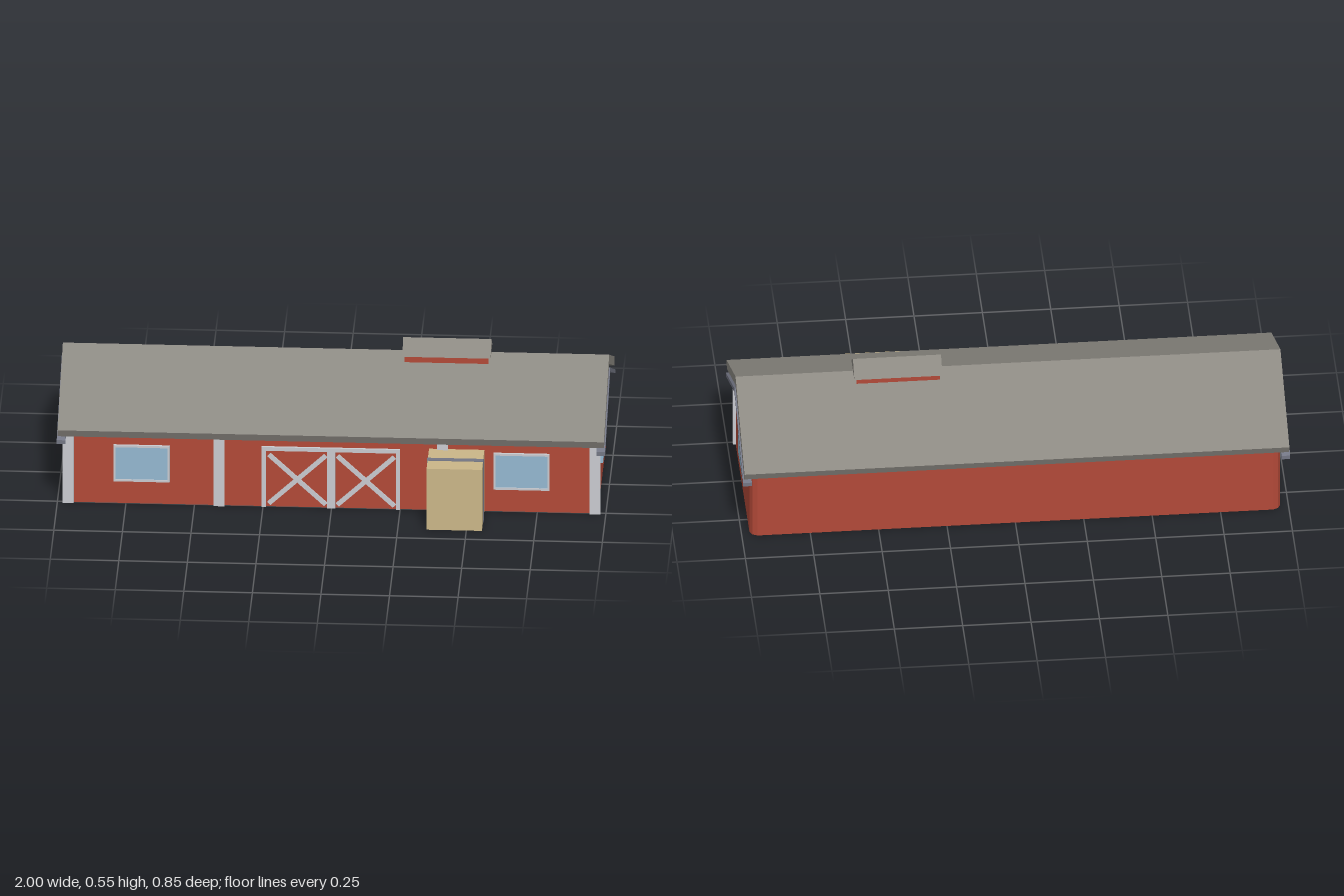
import * as THREE from 'three';

const mat = (name, color, flatShading = true) => {
  const m = new THREE.MeshStandardMaterial({ color, flatShading });
  m.name = name;
  return m;
};

export function createModel() {
  const red = mat('barn red', 0xb24938);
  const roofGrey = mat('roof grey', 0x8c8982);
  const slate = mat('slate trim', 0x737684);
  const white = mat('pale trim', 0xc9cbd0);
  const glass = mat('window blue', 0x94b8d0);
  const tan = mat('straw', 0xcab688);

  const model = new THREE.Group();
  model.name = 'barn';
  const ridgeZ = -0.052;

  const add = (name, geometry, material, parent = model) => {
    const mesh = new THREE.Mesh(geometry, material);
    mesh.name = name;
    parent.add(mesh);
    return mesh;
  };

  // Box given by its limits on each axis
  const box = (name, material, [x0, x1], [y0, y1], [z0, z1], parent) => {
    const mesh = add(name, new THREE.BoxGeometry(x1 - x0, y1 - y0, z1 - z0), material, parent);
    mesh.position.set((x0 + x1) / 2, (y0 + y1) / 2, (z0 + z1) / 2);
    return mesh;
  };

  // Prism along x from a profile of [offset from ridge, height] points
  const prism = (name, material, points, x0, x1) => {
    const shape = new THREE.Shape(points.map(([u, v]) => new THREE.Vector2(u, v)));
    const g = new THREE.ExtrudeGeometry(shape, { depth: x1 - x0, bevelEnabled: false });
    g.rotateY(Math.PI / 2);
    g.translate(x0, 0, ridgeZ);
    return add(name, g, material);
  };

  // Walls with softened corners
  const w = 0.97, d = 0.304, c = 0.027, k = 0.009;
  const plan = new THREE.Shape();
  const corner = [[w, d - c], [w - k, d - k], [w - c, d]];
  const outline = [
    ...corner,
    ...corner.map(([x, z]) => [-x, z]).reverse(),
    ...corner.map(([x, z]) => [-x, -z]),
    ...corner.map(([x, z]) => [x, -z]).reverse(),
  ];
  plan.setFromPoints(outline.map(([x, z]) => new THREE.Vector2(x, z)));
  const walls = new THREE.ExtrudeGeometry(plan, { depth: 0.285, bevelEnabled: false });
  walls.rotateX(-Math.PI / 2);
  walls.translate(0, 0, ridgeZ);
  add('walls', walls, red);
  prism('gable', red, [[-0.302, 0.285], [0.302, 0.285], [0, 0.43]], -w, w);

  // Main roof, a bent slab floating above the gables
  prism('roof', roofGrey, [
    [-0.371, 0.317], [-0.357, 0.287], [0, 0.46],
    [0.357, 0.287], [0.371, 0.317], [0, 0.497],
  ], -0.996, 0.996);

  // Barge boards at both ends
  for (const [x0, x1] of [[-1, -0.968], [0.968, 1]]) {
    prism('bargeBoard', slate, [
      [-0.357, 0.271], [-0.357, 0.256], [0, 0.429],
      [0.357, 0.256], [0.357, 0.271], [0, 0.445],
    ], x0, x1);
  }

  // Ridge vent
  box('ventBox', red, [0.253, 0.558], [0.449, 0.502], [-0.102, -0.001]);
  prism('ventRoof', roofGrey, [[-0.065, 0.5], [0.065, 0.5], [0, 0.549]], 0.245, 0.567);

  // Front posts
  for (const x of [-0.96, -0.41, 0.405, 0.96]) {
    box('post', white, [x - 0.02, x + 0.02], [0, 0.275], [0.235, 0.263]);
  }

  // Double door: frame and crossed braces on each leaf
  const doors = new THREE.Group();
  doors.name = 'doubleDoor';
  model.add(doors);
  const zBar = [0.245, 0.261];
  box('doorTopRail', white, [-0.255, 0.25], [0.226, 0.241], zBar, doors);
  for (const x of [-0.247, -0.009, 0.006, 0.242]) {
    box('doorStile', white, [x - 0.0075, x + 0.0075], [0, 0.227], zBar, doors);
  }
  for (const x of [-0.125, 0.125]) {
    for (const s of [-1, 1]) {
      const brace = add('doorBrace', new THREE.BoxGeometry(0.285, 0.017, 0.012), white, doors);
      brace.position.set(x, 0.111, 0.252);
      brace.rotation.z = s * Math.atan2(0.2, 0.212);
    }
  }

  // Front windows with slim frames
  for (const s of [-1, 1]) {
    const x = s * 0.6925, h = 0.1025, f = 0.008;
    const win = new THREE.Group();
    win.name = 'frontWindow';
    model.add(win);
    box('glass', glass, [x - h + f, x + h - f], [0.098, 0.227], [0.25, 0.257], win);
    for (const y of [0.09, 0.227]) {
      box('frameRail', white, [x - h, x + h], [y, y + f], [0.248, 0.261], win);
    }
    for (const e of [x - h, x + h - f]) {
      box('frameSide', white, [e, e + f], [0.098, 0.227], [0.248, 0.261], win);
    }
  }

  // Gable end windows
  for (const x of [-0.974, 0.974]) {
    box('endWindow', glass, [x - 0.0049, x + 0.0049], [0.104, 0.226], [-0.143, 0.04]);
  }

  // Straw bale with its strap
  box('bale', tan, [0.355, 0.557], [0, 0.245], [0.25, 0.425]);
  box('baleStrap', slate, [0.353, 0.559], [0.001, 0.247], [0.334, 0.356]);

  return model;
}
